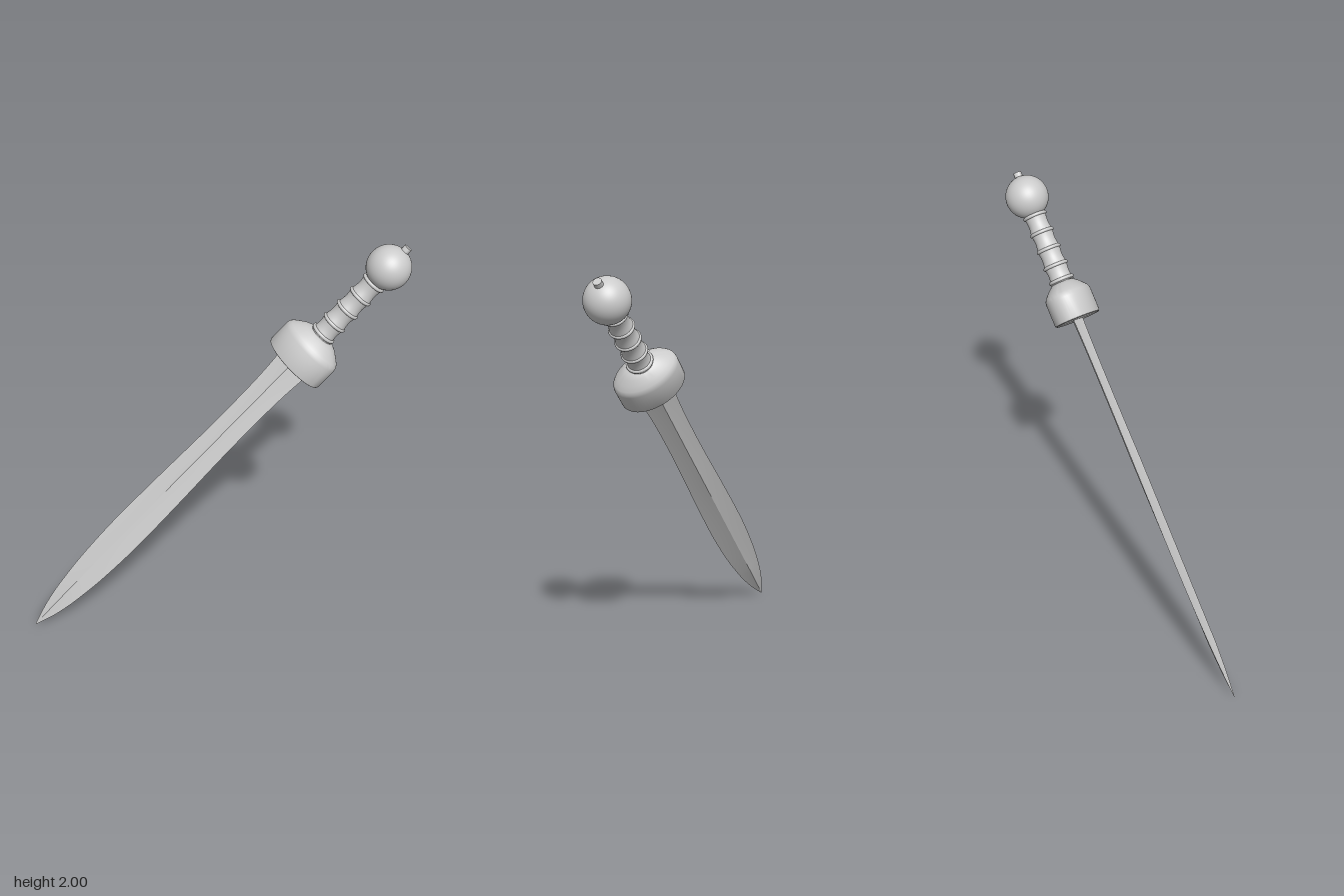
import * as THREE from 'three';
import { toCreasedNormals } from 'three/addons/utils/BufferGeometryUtils.js';

const material = new THREE.MeshStandardMaterial({ color: 0xcccccc, side: THREE.DoubleSide });

function part(name, geometry) {
  const mesh = new THREE.Mesh(geometry, material);
  mesh.name = name;
  return mesh;
}

const points = (list) => list.map(([x, y]) => new THREE.Vector2(x, y));

// Leaf-shaped blade: ridged, slightly hollow sections swept from the tip (y = 0) to the guard
function bladeGeometry() {
  const width = new THREE.SplineCurve(points([
    [0.002, 0], [0.031, 0.1], [0.051, 0.2], [0.065, 0.31], [0.078, 0.46], [0.086, 0.7],
    [0.082, 1.0], [0.073, 1.34], [0.071, 1.6], [0.075, 1.78], [0.086, 1.93],
  ]));
  // Section corners as fractions of half width and half thickness
  const section = [[1, 0], [0.5, 0.42], [0, 1], [-0.5, 0.42], [-1, 0], [-0.5, -0.42], [0, -1], [0.5, -0.42]];
  const rows = 50, n = section.length;
  const positions = [], indices = [];
  for (let i = 0; i <= rows; i++) {
    const p = width.getPoint(i / rows);
    const thick = Math.min(p.x * 0.3, 0.017 + 0.005 * p.y);
    for (const [u, v] of section) positions.push(u * p.x, p.y, v * thick);
  }
  for (let i = 0; i < rows; i++) {
    for (let j = 0; j < n; j++) {
      const a = i * n + j, b = i * n + (j + 1) % n;
      indices.push(a, a + n, b, b, a + n, b + n);
    }
  }
  const geometry = new THREE.BufferGeometry();
  geometry.setAttribute('position', new THREE.Float32BufferAttribute(positions, 3));
  geometry.setIndex(indices);
  return toCreasedNormals(geometry, 0.3);
}

// Oval guard: straight wall, rounded shoulder and sloping top
function guardGeometry() {
  const profile = points([
    [0, 1.9], [0.142, 1.9], [0.149, 1.903], [0.152, 1.91], [0.152, 2.01], [0.149, 2.025],
    [0.14, 2.037], [0.12, 2.053], [0.095, 2.071], [0.07, 2.084], [0, 2.092],
  ]);
  const geometry = new THREE.LatheGeometry(profile, 64);
  geometry.scale(1, 1, 0.107 / 0.152);
  return toCreasedNormals(geometry, 0.7);
}

// Grip with gently waisted segments
function gripGeometry(start, step, count) {
  const profile = [];
  for (let i = 0; i <= count * 8; i++) {
    const t = i / 8;
    const radius = 0.056 - 0.004 * t / count - 0.006 * Math.abs(Math.sin(Math.PI * t));
    profile.push(new THREE.Vector2(radius, start + t * step));
  }
  return new THREE.LatheGeometry(profile, 40);
}

export function createModel() {
  const model = new THREE.Group();
  model.name = 'shortSword';

  const sword = new THREE.Group();
  sword.name = 'sword';
  model.add(sword);

  sword.add(part('blade', bladeGeometry()));
  sword.add(part('guard', guardGeometry()));

  const start = 2.085, step = 0.082, count = 4;
  sword.add(part('grip', gripGeometry(start, step, count)));

  // Raised bands between the grip segments
  for (let i = 0; i <= count; i++) {
    const band = part('gripBand', new THREE.TorusGeometry(0.053 - 0.001 * i, 0.008, 10, 40));
    band.rotation.x = Math.PI / 2;
    band.position.y = start + i * step + (i === 0 ? 0.012 : 0);
    sword.add(band);
  }

  // Ball pommel with the end of the tang on top
  const pommel = part('pommel', new THREE.SphereGeometry(0.099, 48, 32));
  pommel.position.y = 2.508;
  sword.add(pommel);
  const peg = part('tangPeg', toCreasedNormals(new THREE.CylinderGeometry(0.019, 0.019, 0.05, 24), 0.6));
  peg.position.y = 2.508 + 0.094;
  sword.add(peg);

  // Lean the sword on its tip and roll it about its length
  const tip = new THREE.Vector3(-0.835, 0.003, 0.3);
  const axis = new THREE.Vector3(0.73, 1.9, -0.2).sub(tip).normalize();
  const across = new THREE.Vector3(-axis.y, axis.x, 0).normalize();
  across.applyAxisAngle(axis, THREE.MathUtils.degToRad(-28));
  const normal = new THREE.Vector3().crossVectors(across, axis);
  sword.quaternion.setFromRotationMatrix(new THREE.Matrix4().makeBasis(across, axis, normal));
  sword.position.copy(tip);

  return model;
}
